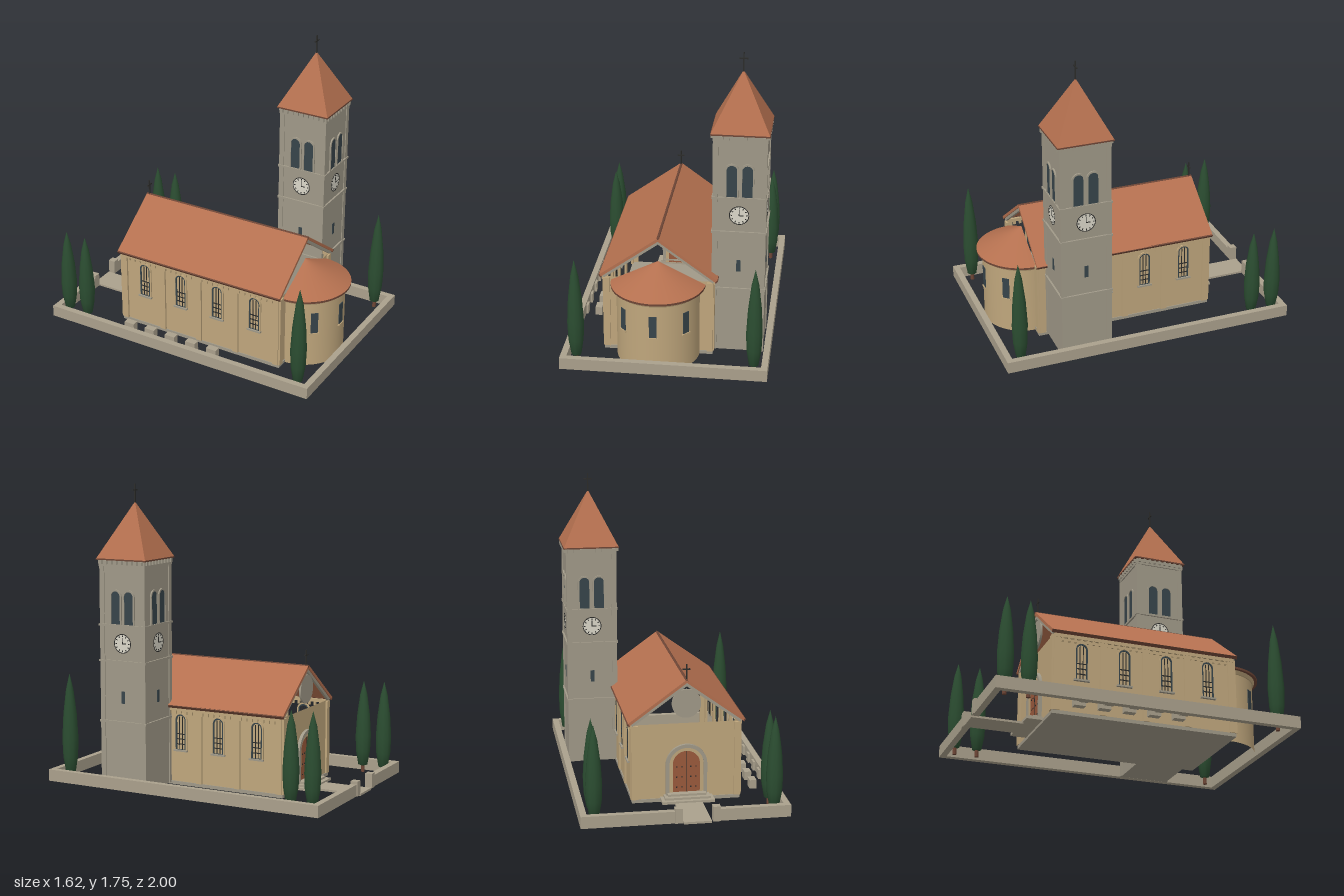
import * as THREE from 'three';

const mat = (name, color, side = THREE.FrontSide) => {
  const m = new THREE.MeshStandardMaterial({ color, side });
  m.name = name;
  return m;
};
const plaster = mat('plaster', 0xbfa67c);
const stone = mat('stone', 0xa09988);
const paleStone = mat('paleStone', 0xaaa08c);
const tile = mat('tile', 0xb4704f);
const tileEdge = mat('tileEdge', 0x6e4636);
const glass = mat('glass', 0x37444a, THREE.DoubleSide);
const iron = mat('iron', 0x2c2c2a);
const clockWhite = mat('clockWhite', 0xdad7c9);
const wood = mat('wood', 0x9a5a3c);
const leaf = mat('leaf', 0x2b4d31);

function add(parent, name, geo, material, x = 0, y = 0, z = 0) {
  const m = new THREE.Mesh(geo, material);
  m.name = name;
  m.position.set(x, y, z);
  parent.add(m);
  return m;
}
// box given by its centre in x and z, and its bottom and top in y
const block = (p, name, m, w, d, y0, y1, x, z) =>
  add(p, name, new THREE.BoxGeometry(w, y1 - y0, d), m, x, (y0 + y1) / 2, z);
function group(parent, name, x = 0, y = 0, z = 0, ry = 0) {
  const g = new THREE.Group();
  g.name = name;
  g.position.set(x, y, z);
  g.rotation.y = ry;
  parent.add(g);
  return g;
}
// round-headed outline: half width r, from bottom to spring line
function archShape(r, bottom, spring, T = THREE.Shape) {
  const s = new T();
  s.moveTo(-r, bottom);
  s.lineTo(r, bottom);
  s.lineTo(r, spring);
  s.absarc(0, spring, r, 0, Math.PI, false);
  s.lineTo(-r, bottom);
  return s;
}
const extrude = (s, depth) =>
  new THREE.ExtrudeGeometry(s, { depth, bevelEnabled: false, curveSegments: 12 });
function archFrame(outer, inner, bottom, spring, depth) {
  const s = archShape(outer, bottom, spring);
  s.holes.push(archShape(inner, bottom + 0.002, spring, THREE.Path));
  return extrude(s, depth);
}
function cross(parent, x, y, z, h) {
  const g = group(parent, 'cross', x, y, z);
  block(g, 'crossPost', iron, 0.007, 0.007, -0.02, h, 0, 0);
  block(g, 'crossArm', iron, h * 0.48, 0.007, h * 0.62, h * 0.62 + 0.007, 0, 0);
}

const CX = -0.06, HALF = 0.305, Z0 = -0.49, Z1 = 0.57, ZC = 0.04, LEN = Z1 - Z0, BAY = 0.247;

function buildNave(root) {
  const nave = group(root, 'nave', CX, 0, 0);
  block(nave, 'foundation', stone, HALF * 2 + 0.01, LEN + 0.01, 0, 0.02, 0, ZC);
  // wall shell without top or bottom, leaving the gables open
  const shell = new THREE.BoxGeometry(HALF * 2, 0.44, LEN);
  const idx = Array.from(shell.index.array);
  shell.setIndex([...idx.slice(0, 12), ...idx.slice(24)]);
  shell.clearGroups();
  add(nave, 'walls', shell, plaster, 0, 0.24, ZC);

  for (const s of [-1, 1]) {
    // long side: pilasters, plinth, corbels and windows
    const side = group(nave, 'sideWall', s * HALF, 0, ZC, s * Math.PI / 2);
    for (const k of [-2, -1, 0, 1, 2])
      block(side, 'pilaster', plaster, 0.036, 0.014, 0.02, 0.455, k * (Math.abs(k) === 2 ? 0.256 : BAY), 0.005);
    block(side, 'eavesBand', plaster, LEN, 0.016, 0.44, 0.46, 0, 0.006);
    for (let i = 0; i < 30; i++)
      block(side, 'corbel', plaster, 0.014, 0.012, 0.42, 0.44, (i - 14.5) * 0.0355, 0.006);
    for (let k = -1.5; k <= 1.5; k++) {
      const win = group(side, 'naveWindow', k * BAY, 0, 0.001);
      add(win, 'hood', archFrame(0.043, 0.034, 0.205, 0.385, 0.008), plaster);
      add(win, 'frame', archFrame(0.034, 0.026, 0.21, 0.385, 0.005), glass);
      for (const x of [-0.009, 0.009]) block(win, 'bar', iron, 0.004, 0.004, 0.21, 0.405, x, 0.002);
      for (const y of [0.24, 0.27, 0.3]) block(win, 'bar', iron, 0.055, 0.004, y, y + 0.005, 0, 0.002);
      block(win, 'sill', stone, 0.09, 0.016, 0.2, 0.21, 0, 0.007);
    }
    // corner pilasters on the end walls
    for (const z of [Z0 - 0.004, Z1 + 0.004])
      block(nave, 'cornerPilaster', plaster, 0.036, 0.014, 0.02, 0.455, s * (HALF - 0.012), z);

    // roof slope with eaves edge and stone rakes
    const rise = 0.24, run = 0.33, len = Math.hypot(rise, run);
    const slope = group(nave, 'roofSlope', s * run / 2, 0.587, 0.039);
    slope.rotation.z = -s * Math.atan2(rise, run);
    add(slope, 'tiles', new THREE.BoxGeometry(len, 0.016, 1.09), tile);
    add(slope, 'eavesEdge', new THREE.BoxGeometry(0.008, 0.018, 1.092), tileEdge, s * len / 2, -0.001, 0);
    for (const z of [-0.53, 0.53])
      add(slope, 'rake', new THREE.BoxGeometry(len - 0.02, 0.018, 0.016), stone, 0, -0.016, z);
  }
  const ridge = add(nave, 'ridge', new THREE.CylinderGeometry(0.009, 0.009, 1.09, 8), tileEdge, 0, 0.708, 0.039);
  ridge.rotation.x = Math.PI / 2;
  cross(nave, 0, 0.715, -0.49, 0.088);

  // entrance wall: door, hood and round gable panel
  const front = group(nave, 'entrance', 0, 0, Z0, Math.PI);
  add(front, 'doorSurround', archFrame(0.118, 0.098, 0.03, 0.22, 0.018), stone);
  add(front, 'innerSurround', archFrame(0.098, 0.078, 0.03, 0.22, 0.01), plaster);
  add(front, 'door', extrude(archShape(0.078, 0.03, 0.22), 0.005), wood);
  block(front, 'doorSeam', iron, 0.003, 0.003, 0.03, 0.295, 0, 0.006);
  for (const x of [-0.055, -0.025, 0.025, 0.055])
    for (const y of [0.08, 0.14, 0.2]) block(front, 'stud', iron, 0.007, 0.004, y, y + 0.007, x, 0.006);
  const disc = add(front, 'gableDisc', new THREE.CylinderGeometry(0.083, 0.083, 0.012, 32), stone, 0, 0.575, 0);
  disc.rotation.x = Math.PI / 2;
  block(front, 'lowerStep', paleStone, 0.3, 0.095, 0.015, 0.03, 0, 0.047);
  block(front, 'middleStep', paleStone, 0.26, 0.07, 0.03, 0.042, 0, 0.035);
  block(front, 'upperStep', paleStone, 0.22, 0.045, 0.042, 0.054, 0, 0.022);
  block(front, 'path', paleStone, 0.156, 0.29, 0.008, 0.02, 0, 0.235);
}

function buildApse(root) {
  const apse = group(root, 'apse', CX, 0, Z1);
  const half = [-Math.PI / 2, Math.PI];
  add(apse, 'apseWall', new THREE.CylinderGeometry(0.235, 0.235, 0.43, 32, 1, true, ...half), plaster, 0, 0.215, 0);
  add(apse, 'apseCornice', new THREE.CylinderGeometry(0.25, 0.242, 0.02, 32, 1, false, ...half), plaster, 0, 0.418, 0);
  add(apse, 'roofEdge', new THREE.CylinderGeometry(0.267, 0.267, 0.012, 32, 1, false, ...half), tileEdge, 0, 0.434, 0);
  add(apse, 'apseRoof', new THREE.ConeGeometry(0.267, 0.132, 32, 1, true, ...half), tile, 0, 0.506, 0);
  for (const a of [-0.84, 0, 0.84]) {
    const win = group(apse, 'apseWindow', 0, 0, 0, a);
    block(win, 'pane', glass, 0.042, 0.006, 0.215, 0.345, 0, 0.235);
    block(win, 'sill', plaster, 0.054, 0.014, 0.205, 0.215, 0, 0.236);
  }
}

function buildTower(root) {
  const tower = group(root, 'tower', 0.385, 0, 0.378);
  const H = 0.144;
  block(tower, 'shaft', stone, H * 2, H * 2, 0.01, 1.325, 0, 0);
  for (const sx of [-1, 1]) for (const sz of [-1, 1])
    block(tower, 'cornerPilaster', stone, 0.03, 0.03, 0.01, 1.325, sx * (H - 0.01), sz * (H - 0.01));
  for (const y of [0.395, 0.745, 0.95])
    block(tower, 'stringCourse', stone, H * 2 + 0.02, H * 2 + 0.02, y, y + 0.012, 0, 0);
  block(tower, 'cornice', stone, H * 2 + 0.014, H * 2 + 0.014, 1.29, 1.328, 0, 0);

  for (let k = 0; k < 4; k++) {
    const face = group(tower, 'towerFace', 0, 0, 0, k * Math.PI / 2);
    block(face, 'slit', glass, 0.023, 0.006, 0.51, 0.58, 0, H);
    // paired belfry openings
    for (const x of [-0.043, 0.043]) {
      add(face, 'belfryOpening', extrude(archShape(0.029, 0.963, 1.122), 0.003), glass, x, 0, H);
      add(face, 'belfryHood', archFrame(0.039, 0.029, 0.962, 1.122, 0.008), stone, x, 0, H);
    }
    for (let i = 0; i < 9; i++)
      block(face, 'dentil', stone, 0.014, 0.014, 1.303, 1.325, (i - 4) * 0.033, H + 0.011);
    // clock
    const clock = group(face, 'clock', 0, 0.855, H);
    add(clock, 'clockRim', new THREE.RingGeometry(0.051, 0.056, 32), iron, 0, 0, 0.004);
    add(clock, 'clockFace', new THREE.CircleGeometry(0.052, 32), clockWhite, 0, 0, 0.003);
    for (let i = 0; i < 12; i++) {
      const a = i * Math.PI / 6;
      const mark = add(clock, 'hourMark', new THREE.BoxGeometry(0.005, 0.009, 0.002), iron,
        Math.sin(a) * 0.043, Math.cos(a) * 0.043, 0.004);
      mark.rotation.z = -a;
    }
    add(clock, 'minuteHand', new THREE.BoxGeometry(0.004, 0.036, 0.002), iron, 0, 0.016, 0.005);
    add(clock, 'hourHand', new THREE.BoxGeometry(0.026, 0.005, 0.002), iron, 0.012, 0, 0.005);
  }
  const spire = new THREE.ConeGeometry(0.162 * Math.SQRT2, 0.318, 4).toNonIndexed();
  spire.rotateY(Math.PI / 4);
  spire.computeVertexNormals();
  add(tower, 'spire', spire, tile, 0, 1.491, 0);
  block(tower, 'spireEdge', tileEdge, 0.326, 0.326, 1.326, 1.334, 0, 0);
  cross(tower, 0, 1.65, 0, 0.1);
}

function buildYard(root) {
  const yard = group(root, 'yard');
  const X = 0.58, Z = 0.865, T = 0.036, y0 = 0.015, y1 = 0.083;
  for (const s of [-1, 1]) block(yard, 'sideYardWall', paleStone, T, Z * 2, y0, y1, s * (X - T / 2), 0);
  block(yard, 'frontYardWall', paleStone, X * 2 - T * 2, T, y0, y1, 0, Z - T / 2);
  // gated wall
  for (const [a, b] of [[-X + T, -0.165], [0.045, X - T]])
    block(yard, 'gateWall', paleStone, b - a, T, y0, y1, (a + b) / 2, -Z + T / 2);
  for (const x of [-0.165, 0.045]) block(yard, 'gatePost', paleStone, 0.042, 0.042, y0, 0.1, x, -0.85);
  // graves along one side
  for (let i = 0; i < 5; i++) {
    const z = -0.376 + i * 0.1415;
    block(yard, 'headstone', paleStone, 0.04, 0.065, y0, 0.066, -0.467, z);
    block(yard, 'footstone', paleStone, 0.018, 0.05, y0, 0.07, -0.54, z);
  }
  // cypresses
  const profile = [[0, 0], [0.028, 0.02], [0.043, 0.18], [0.047, 0.36], [0.039, 0.6], [0.022, 0.84], [0, 1]];
  for (const s of [-1, 1]) for (const [z, top] of [[-0.795, 0.575], [-0.665, 0.57], [0.765, 0.65]]) {
    const tree = group(yard, 'cypress', s * 0.499, 0, z);
    const pts = profile.map(([r, t]) => new THREE.Vector2(r, 0.05 + t * (top - 0.05)));
    add(tree, 'foliage', new THREE.LatheGeometry(pts, 10), leaf);
    add(tree, 'trunk', new THREE.CylinderGeometry(0.01, 0.012, 0.06, 8), tileEdge, 0, 0.045, 0);
  }
}

export function createModel() {
  const model = new THREE.Group();
  model.name = 'church';
  // the whole plot is turned slightly
  const plot = group(model, 'plot', 0, 0, 0, 0.3);
  buildNave(plot);
  buildApse(plot);
  buildTower(plot);
  buildYard(plot);
  return model;
}
